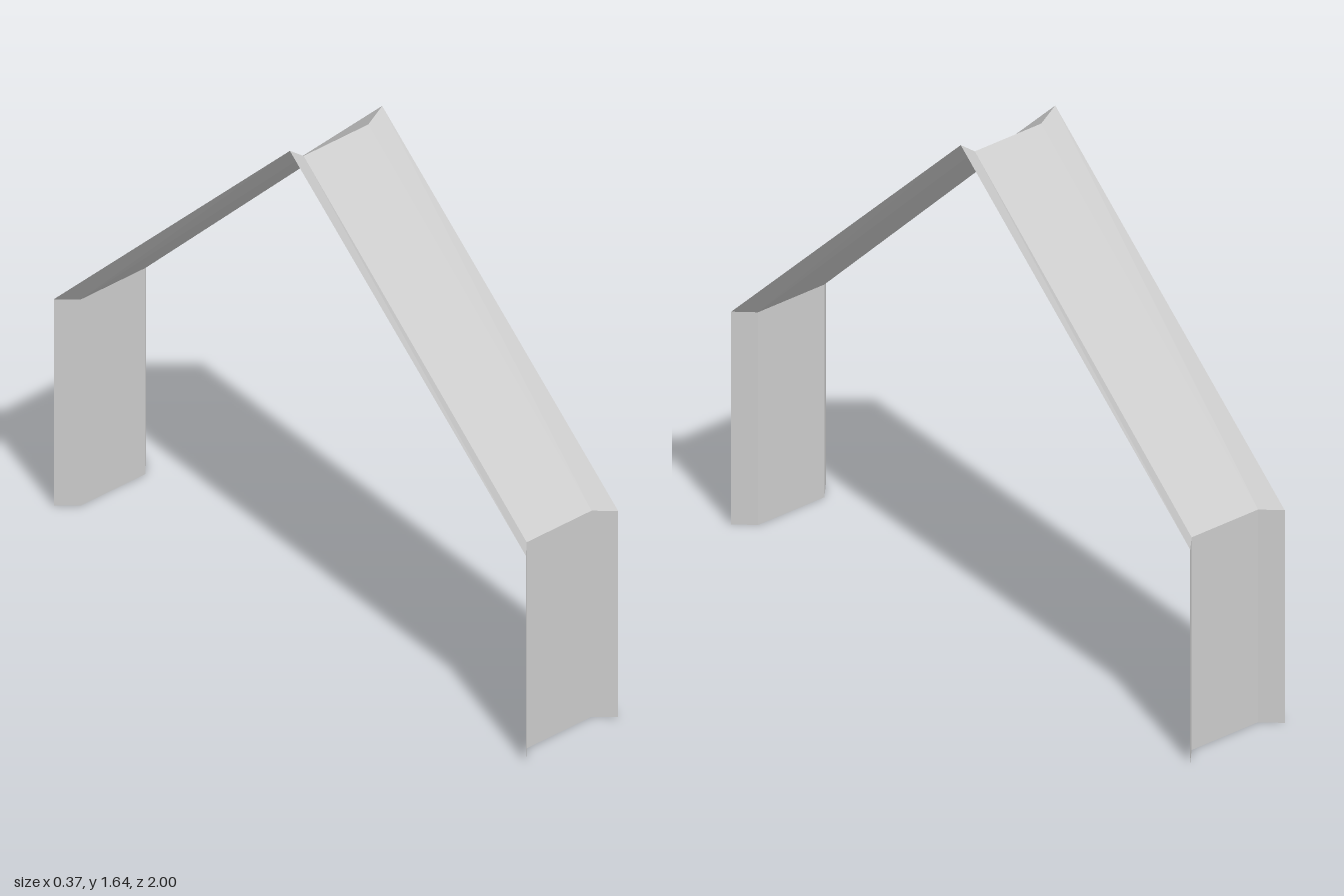
import * as THREE from 'three';

// Flared channel: x position and whether the point lies on the outer lip
const section = [[-0.185, true], [-0.13, false], [0.13, false], [0.185, true]];

// Side outline of the front half as [z, y]: foot, eave, ridge
const lipPath = [[1, 0], [1, 0.7], [0, 1.64]];
const webPath = [[0.945, 0], [0.945, 0.7], [0, 1.6]];

// Folded sheet between two stations of the outline
function channel(from, to) {
  const point = ([x, lip], i) => {
    const [z, y] = (lip ? lipPath : webPath)[i];
    return [x, y, z];
  };
  const positions = [];
  for (let i = 0; i < section.length - 1; i++) {
    const a = point(section[i], from), b = point(section[i + 1], from);
    const c = point(section[i + 1], to), d = point(section[i], to);
    positions.push(...a, ...b, ...c, ...a, ...c, ...d);
  }
  const geometry = new THREE.BufferGeometry();
  geometry.setAttribute('position', new THREE.Float32BufferAttribute(positions, 3));
  geometry.computeVertexNormals();
  return geometry;
}

export function createModel() {
  const model = new THREE.Group();
  model.name = 'gableFrame';
  const sheetMetal = new THREE.MeshStandardMaterial({ color: 0xcccccc, side: THREE.DoubleSide });
  sheetMetal.name = 'light grey sheet metal';

  const legGeometry = channel(0, 1);
  const rafterGeometry = channel(1, 2);

  // The back half is the front half turned around
  for (const side of ['front', 'back']) {
    const half = new THREE.Group();
    half.name = side + 'Half';
    const leg = new THREE.Mesh(legGeometry, sheetMetal);
    leg.name = side + 'Leg';
    const rafter = new THREE.Mesh(rafterGeometry, sheetMetal);
    rafter.name = side + 'Rafter';
    half.add(leg, rafter);
    if (side === 'back') half.rotation.y = Math.PI;
    model.add(half);
  }
  return model;
}
